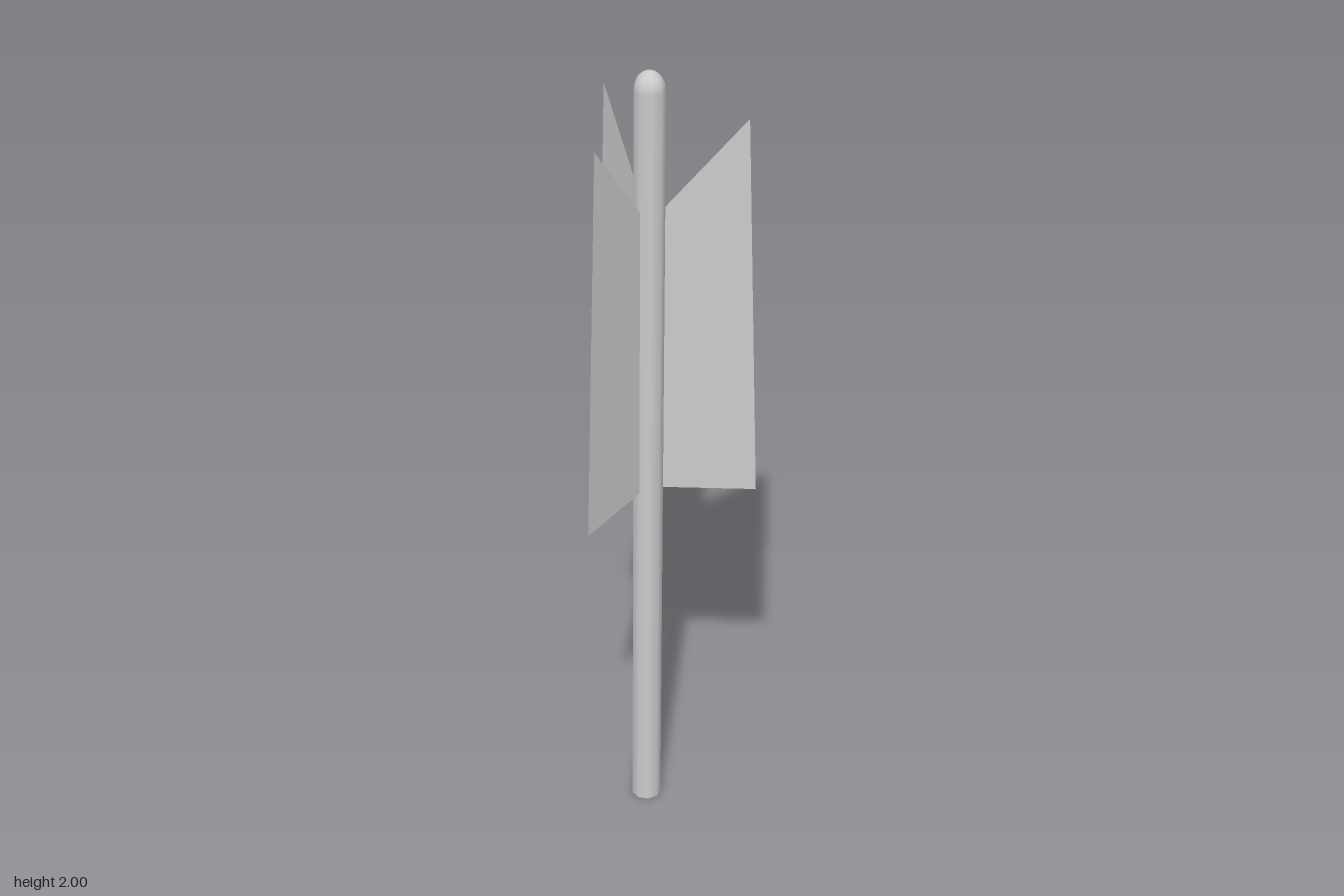
import * as THREE from 'three';

const material = new THREE.MeshStandardMaterial({ color: 0xcccccc, side: THREE.DoubleSide });

export function createModel() {
  const model = new THREE.Group();
  model.name = 'finnedShaft';

  // The shaft axis sits off-centre because the three fins spread unevenly in x and z
  const assembly = new THREE.Group();
  assembly.name = 'shaftAndFins';
  assembly.position.set(0.023, 0, 0.044);
  model.add(assembly);

  // Nine-sided shaft, open at the base, with a rounded tip
  const radius = 0.037;
  const profile = [new THREE.Vector2(radius, 0)];
  const domeSteps = 4, domeHeight = 0.045;
  for (let i = 0; i <= domeSteps; i++) {
    const a = (i / domeSteps) * Math.PI / 2;
    const r = i === domeSteps ? 0 : radius * Math.cos(a);
    profile.push(new THREE.Vector2(r, 2 - domeHeight + domeHeight * Math.sin(a)));
  }
  const shaft = new THREE.Mesh(new THREE.LatheGeometry(profile, 9, Math.PI / 2), material);
  shaft.name = 'shaft';
  assembly.add(shaft);

  // Thin fin: square base, slightly tapered outer edge, swept pointed top
  const finShape = new THREE.Shape([
    new THREE.Vector2(radius, 0.93),
    new THREE.Vector2(0.26, 0.93),
    new THREE.Vector2(0.222, 1.89),
    new THREE.Vector2(radius, 1.673),
  ]);
  const finGeometry = new THREE.ShapeGeometry(finShape);

  // Three fins, 120 degrees apart
  for (let i = 0; i < 3; i++) {
    const fin = new THREE.Mesh(finGeometry, material);
    fin.name = `fin${i + 1}`;
    fin.rotation.y = -THREE.MathUtils.degToRad(40 + i * 120);
    assembly.add(fin);
  }

  return model;
}
